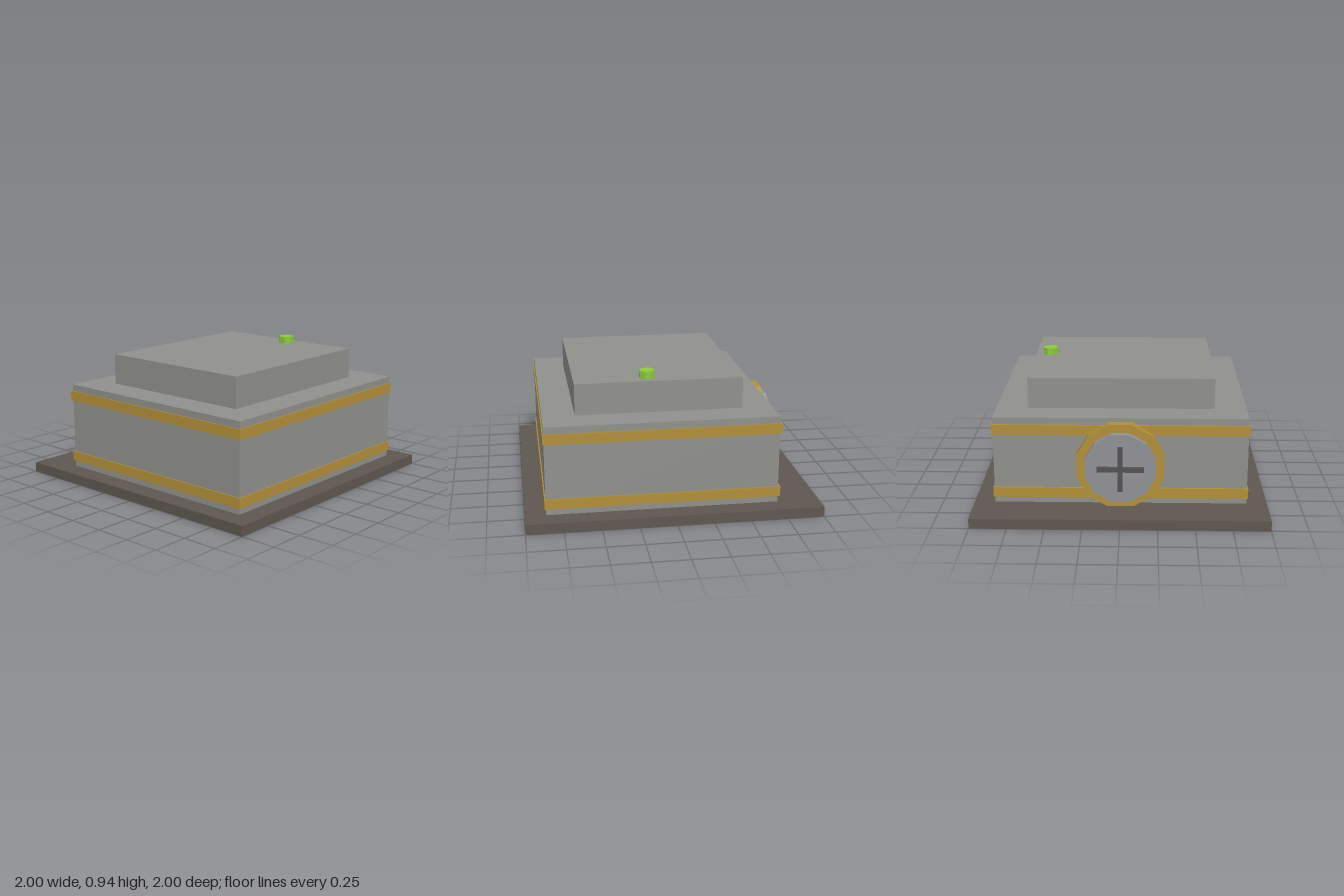
import * as THREE from 'three';

function makeMaterial(name, color, side = THREE.FrontSide) {
  const m = new THREE.MeshStandardMaterial({ color, flatShading: true, side });
  m.name = name;
  return m;
}

export function createModel() {
  const model = new THREE.Group();
  model.name = 'steppedBox';

  const stone = makeMaterial('stone grey', 0x8f908b);
  const gold = makeMaterial('gold', 0xb28e38);
  const earth = makeMaterial('dark brown grey', 0x5e5650, THREE.DoubleSide);
  const steel = makeMaterial('steel grey', 0x8f9194);
  const iron = makeMaterial('dark iron', 0x55514f);
  const green = makeMaterial('lime green', 0x8acb38);

  function add(name, geometry, material, parent = model) {
    const mesh = new THREE.Mesh(geometry, material);
    mesh.name = name;
    parent.add(mesh);
    return mesh;
  }

  // Box given by its limits on each axis
  function box(name, [x0, x1], [y0, y1], [z0, z1], material, parent) {
    const g = new THREE.BoxGeometry(x1 - x0, y1 - y0, z1 - z0);
    g.translate((x0 + x1) / 2, (y0 + y1) / 2, (z0 + z1) / 2);
    return add(name, g, material, parent);
  }

  // Base tray, open underneath: drop the box's bottom face
  const base = box('base', [-1, 1], [0, 0.07], [-1, 1], earth);
  const index = Array.from(base.geometry.index.array);
  index.splice(18, 6);
  base.geometry.setIndex(index);
  base.geometry.clearGroups();

  // Main body and raised top
  box('body', [-0.86, 0.86], [0.07, 0.68], [-0.71, 0.86], stone);
  box('raisedTop', [-0.64, 0.64], [0.68, 0.895], [-0.5, 0.64], stone);

  // Bands around the body
  for (const [name, y] of [['lowerBand', 0.112], ['upperBand', 0.562]]) {
    box(name, [-0.868, 0.868], [y, y + 0.07], [-0.725, 0.868], gold);
  }

  // Eight-sided button on the top
  const button = new THREE.CylinderGeometry(0.055, 0.055, 0.05, 8);
  button.rotateY(Math.PI / 8);
  button.translate(0.533, 0.92, 0.14);
  add('button', button, green);

  // Round port on the back: two stacked twelve-sided discs and a cross
  const port = new THREE.Group();
  port.name = 'port';
  port.position.y = 0.358;
  model.add(port);

  function disc(name, radius, z0, z1, material) {
    const g = new THREE.CylinderGeometry(radius, radius, z1 - z0, 12);
    g.rotateY(Math.PI / 12);
    g.rotateX(Math.PI / 2);
    g.translate(0, 0, (z0 + z1) / 2);
    add(name, g, material, port);
  }
  disc('portRim', 0.305, -0.77, -0.70, gold);
  disc('portPlate', 0.246, -0.815, -0.76, steel);
  box('crossBarAcross', [-0.158, 0.158], [-0.016, 0.016], [-0.84, -0.81], iron, port);
  box('crossBarUpright', [-0.016, 0.016], [-0.158, 0.158], [-0.836, -0.81], iron, port);

  return model;
}
